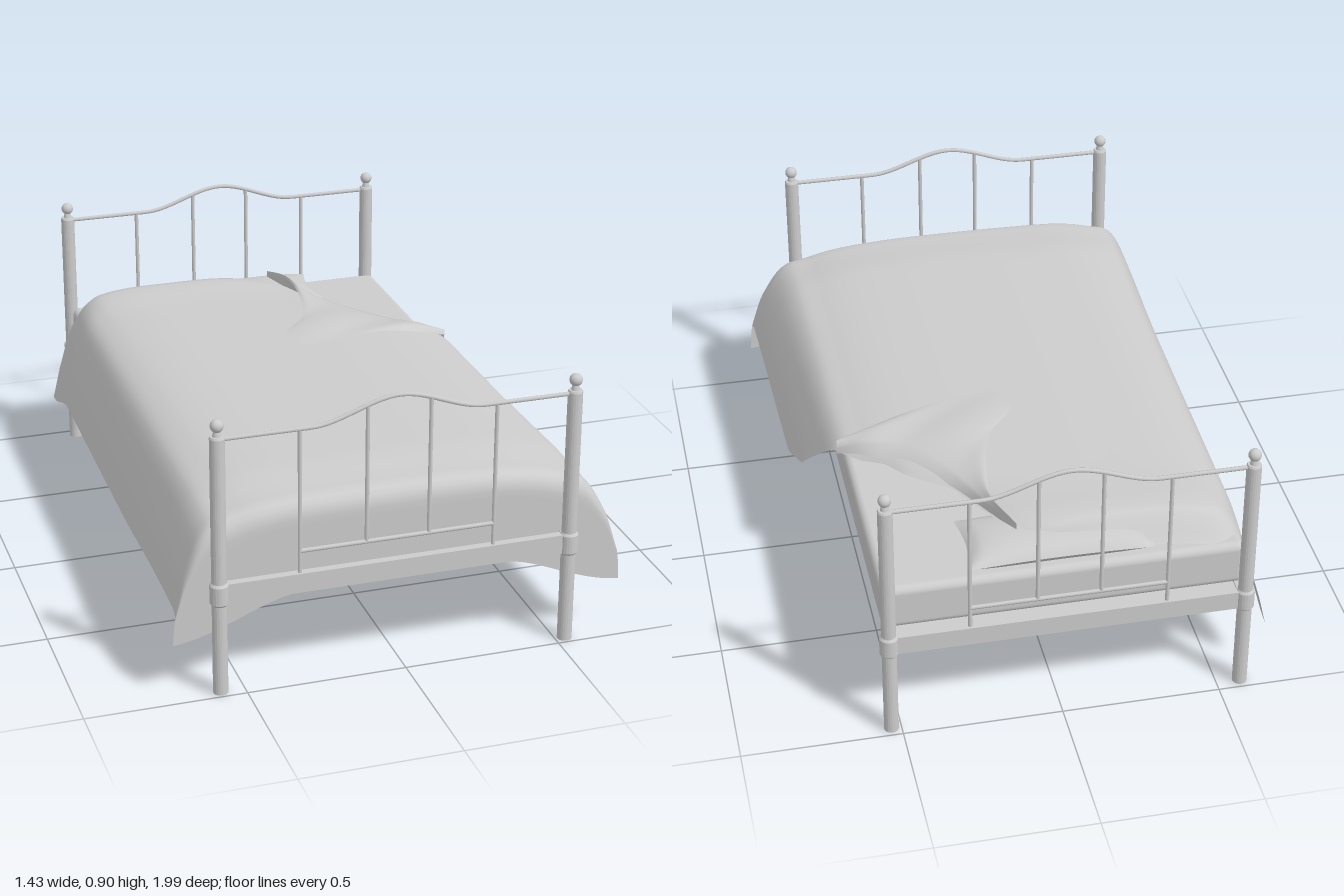
import * as THREE from 'three';
import { RoundedBoxGeometry } from 'three/addons/geometries/RoundedBoxGeometry.js';

const grey = new THREE.MeshStandardMaterial({ color: 0xcccccc });
const cloth = new THREE.MeshStandardMaterial({ color: 0xcccccc, side: THREE.DoubleSide });
const CX = -0.022, HALF = 0.553; // bed centre line and half distance between posts
const { lerp, smoothstep } = THREE.MathUtils;

function add(parent, name, geometry, x = 0, y = 0, z = 0, material = grey) {
  const mesh = new THREE.Mesh(geometry, material);
  mesh.name = name;
  mesh.position.set(x, y, z);
  parent.add(mesh);
  return mesh;
}

// Smooth surface over a grid; point(u, v) returns [x, y, z]
function sheet(nu, nv, point) {
  const pos = [], index = [];
  for (let j = 0; j <= nv; j++) for (let i = 0; i <= nu; i++) pos.push(...point(i / nu, j / nv));
  for (let j = 0; j < nv; j++) for (let i = 0; i < nu; i++) {
    const a = j * (nu + 1) + i, b = a + 1, c = a + nu + 1, d = c + 1;
    index.push(a, c, b, b, c, d);
  }
  const g = new THREE.BufferGeometry();
  g.setAttribute('position', new THREE.Float32BufferAttribute(pos, 3));
  g.setIndex(index);
  g.computeVertexNormals();
  return g;
}

// Piecewise linear lookup in [[key, value], ...] with rising keys
function lookup(table, k) {
  if (k <= table[0][0]) return table[0][1];
  for (let i = 1; i < table.length; i++) {
    const [k0, v0] = table[i - 1], [k1, v1] = table[i];
    if (k <= k1) return lerp(v0, v1, (k - k0) / (k1 - k0));
  }
  return table[table.length - 1][1];
}

const curve = (pts) => new THREE.CatmullRomCurve3(pts.map((p) => new THREE.Vector3(p[0], p[1], p[2] ?? 0)));

// Head and foot ends share one design
function bedEnd(name, z) {
  const end = new THREE.Group();
  end.name = name;
  end.position.set(CX, 0, z);
  const postProfile = [[0, 0], [0.023, 0], [0.023, 0.295], [0.029, 0.302], [0.029, 0.36], [0.023, 0.368],
    [0.023, 0.832], [0.02, 0.838], [0, 0.838]].map((p) => new THREE.Vector2(...p));
  for (const s of [-1, 1]) {
    const post = add(end, 'post', new THREE.LatheGeometry(postProfile, 20).toNonIndexed(), s * HALF);
    post.geometry.computeVertexNormals();
    add(end, 'finialNeck', new THREE.CylinderGeometry(0.009, 0.014, 0.022, 16), s * HALF, 0.847);
    add(end, 'finialBall', new THREE.SphereGeometry(0.02, 20, 14), s * HALF, 0.87);
  }
  add(end, 'endBoard', new THREE.BoxGeometry(2 * HALF, 0.062, 0.026), 0, 0.332);
  // Top rail with a raised wave in the middle
  const railY = (x) => 0.827 + 0.068 * (1 - smoothstep(Math.abs(x), 0, 0.27));
  const rail = [];
  for (let i = 0; i <= 40; i++) {
    const x = lerp(-HALF, HALF, i / 40);
    rail.push([x, railY(x)]);
  }
  add(end, 'topRail', new THREE.TubeGeometry(curve(rail), 80, 0.007, 8));
  add(end, 'lowerRail', new THREE.CylinderGeometry(0.007, 0.007, 0.61, 8).rotateZ(Math.PI / 2), 0, 0.433);
  for (const [x, y0] of [[-0.305, 0.36], [-0.098, 0.433], [0.098, 0.433], [0.305, 0.36]]) {
    const h = railY(x) - y0;
    add(end, 'spindle', new THREE.CylinderGeometry(0.0065, 0.0065, h, 8), x, y0 + h / 2);
  }
  return end;
}

// Duvet cross-section from left hem to right hem
const section = curve([[-0.69, 0.25], [-0.655, 0.38], [-0.59, 0.53], [-0.52, 0.572], [-0.42, 0.594], [-0.2, 0.603],
  [0, 0.605], [0.2, 0.603], [0.38, 0.59], [0.48, 0.57], [0.56, 0.54], [0.63, 0.41], [0.67, 0.26]]);
// How far along the section each row reaches: the corner is turned back
const reach = [[-0.92, 0.49], [-0.88, 0.505], [-0.82, 0.54], [-0.75, 0.5625], [-0.55, 0.607], [-0.35, 0.71],
  [-0.24, 0.833], [-0.15, 0.88], [0, 0.96], [0.17, 1]];

function duvetPoint(u, v) {
  const rows = 0.85; // remaining rows hang over the foot
  const z = lerp(-0.92, 0.915, Math.min(v / rows, 1));
  const p = section.getPoint(u * lookup(reach, z));
  let { x, y } = p, zz = z;
  const side = smoothstep(Math.abs(x), 0.5, 0.69);
  x += side * (x > 0 ? lerp(0, 0.03, (z + 0.1)) : (z > 0.5 ? -(z - 0.5) * 0.03 : 0.02 * (0.5 - z)));
  y += side * 0.025 * smoothstep(z, 0.2, 0.85);
  // soft turned edge beside the exposed mattress
  y -= 0.035 * u ** 14 * smoothstep(-z, 0.2, 0.3);
  // head end slopes down, with a drooping outer corner
  y -= (1 - side) * 0.075 * smoothstep(-z, 0.82, 0.92) ** 2;
  y -= side * 0.07 * smoothstep(-z, 0.65, 0.92);
  y += (1 - side) * 0.008 * Math.exp(-(((z + 0.78) / 0.1) ** 2));
  zz += 0.025 * smoothstep(x, -0.6, -0.2) * smoothstep(-z, 0.7, 0.92);
  // foot end: soft shoulder, then a straight drop with low corners
  y -= (1 - side) * 0.015 * smoothstep(z, 0.7, 0.915);
  if (v > rows) {
    const f = (v - rows) / (1 - rows);
    const hem = 0.29 - 0.12 * smoothstep(Math.abs(x), 0.3, 0.72);
    zz += 0.04 * Math.sin(Math.min(f * 3, 1) * Math.PI / 2);
    y = lerp(y, hem, f ** 1.5);
    x += side * Math.sign(x) * 0.012 * f;
  }
  return [x, y, zz];
}

// Turned-back corner, lofted from the fold line to its free edge
const foldLine = curve([[0.11, 0.59, -0.82], [0.16, 0.575, -0.72], [0.25, 0.57, -0.55], [0.335, 0.565, -0.44],
  [0.42, 0.556, -0.35], [0.51, 0.545, -0.28], [0.57, 0.525, -0.235]]);
const freeEdge = curve([[0.11, 0.6, -0.82], [0.155, 0.612, -0.69], [0.1, 0.617, -0.36], [0.0, 0.616, -0.22],
  [0.04, 0.614, -0.12], [0.32, 0.608, -0.17], [0.56, 0.55, -0.205]]);
function flapPoint(u, v) {
  const a = foldLine.getPoint(u), b = freeEdge.getPoint(u);
  const ripple = 0.012 * Math.sin(Math.PI * v) * (1 + 0.5 * Math.sin(u * 14));
  return [lerp(a.x, b.x, v), lerp(a.y, b.y, v ** 0.3) + ripple, lerp(a.z, b.z, v)];
}

// Pillow half: puffed middle, pinched seam and pointed corners
const pillowHalf = (s) => sheet(24, 16, (u, v) => {
  const a = (2 * u - 1) * s, b = 2 * v - 1;
  const puff = Math.sqrt((1 - a ** 4) * (1 - b ** 2));
  return [0.29 * a * (1 - 0.06 * (1 - b * b)), s * 0.04 * puff, 0.125 * b * (1 - 0.08 * (1 - a * a))];
});

export function createModel() {
  const bed = new THREE.Group();
  bed.name = 'bed';
  bed.add(bedEnd('footEnd', 0.97), bedEnd('headEnd', -0.966));

  // Frame and base
  for (const s of [-1, 1]) add(bed, 'sideRail', new THREE.BoxGeometry(0.026, 0.066, 1.93), CX + s * 0.54, 0.333, 0);
  add(bed, 'base', new THREE.BoxGeometry(1.07, 0.05, 1.92), CX, 0.335, 0);

  // Bedding
  add(bed, 'mattress', new RoundedBoxGeometry(1.125, 0.15, 1.87, 4, 0.025), CX + 0.005, 0.437, 0);
  const pillow = new THREE.Group();
  pillow.name = 'pillow';
  pillow.position.set(-0.01, 0.54, -0.8);
  for (const s of [-1, 1]) add(pillow, 'pillowHalf', pillowHalf(s), 0, 0, 0, cloth);
  bed.add(pillow);
  add(bed, 'duvet', sheet(60, 80, duvetPoint), 0, 0, 0, cloth);
  add(bed, 'turnedCorner', sheet(36, 14, flapPoint), 0, 0, 0, cloth);
  return bed;
}
